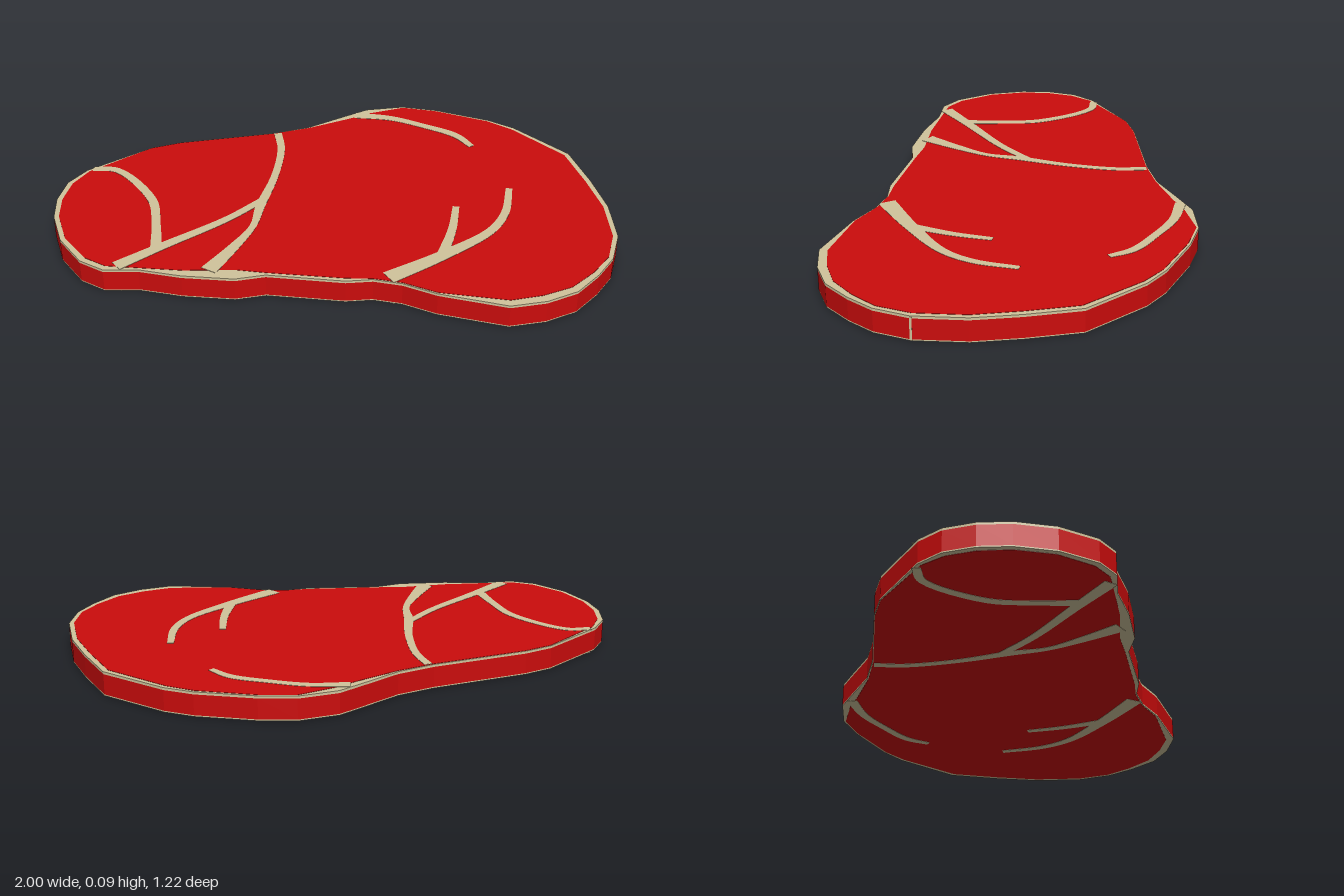
import * as THREE from 'three';

// Outline seen from above, clockwise: x, z, width of the fat rim there
const OUTLINE = [
  [-1, 0.19, 0.02], [-0.99, 0.08, 0.02], [-0.94, -0.01, 0.012], [-0.74, -0.19, 0.003],
  [-0.64, -0.24, 0.003], [-0.3, -0.35, 0.004], [-0.17, -0.41, 0.006], [-0.04, -0.51, 0.025],
  [0.04, -0.57, 0.03], [0.18, -0.61, 0.008], [0.31, -0.6, 0.008], [0.52, -0.55, 0.01],
  [0.62, -0.505, 0.015], [0.83, -0.345, 0.02], [0.91, -0.17, 0.02], [0.97, -0.01, 0.018],
  [1, 0.17, 0.018], [0.98, 0.3, 0.016], [0.93, 0.4, 0.02], [0.86, 0.5, 0.028],
  [0.76, 0.565, 0.032], [0.64, 0.605, 0.03], [0.4, 0.57, 0.006], [0.28, 0.53, 0.004],
  [0.18, 0.52, 0.004], [0.09, 0.54, 0.015], [-0.18, 0.54, 0.012], [-0.28, 0.575, 0.05],
  [-0.46, 0.58, 0.03], [-0.61, 0.565, 0.01], [-0.73, 0.58, 0.022], [-0.82, 0.54, 0.022],
  [-0.92, 0.43, 0.018], [-0.98, 0.3, 0.018],
];

// Marbling paths: x, z, width
const VEINS = [
  [[0, -0.52, 0.04], [0.14, -0.515, 0.033], [0.27, -0.475, 0.03], [0.4, -0.42, 0.032], [0.465, -0.35, 0.024]],
  [[-0.28, -0.35, 0.03], [-0.25, -0.24, 0.028], [-0.245, -0.05, 0.028], [-0.265, 0.14, 0.035],
    [-0.27, 0.27, 0.025], [-0.315, 0.4, 0.04], [-0.375, 0.54, 0.06]],
  [[-0.26, 0.1, 0.03], [-0.37, 0.24, 0.032], [-0.555, 0.42, 0.04], [-0.69, 0.555, 0.05]],
  [[-0.92, -0.02, 0.03], [-0.83, -0.02, 0.03], [-0.66, 0.15, 0.033], [-0.61, 0.3, 0.032], [-0.58, 0.43, 0.04]],
  [[0.43, 0.06, 0.024], [0.425, 0.2, 0.03], [0.4, 0.36, 0.04]],
  [[0.615, -0.08, 0.024], [0.605, 0.08, 0.03], [0.555, 0.2, 0.035], [0.4, 0.36, 0.05], [0.23, 0.505, 0.065]],
];

// Moves each point of a line sideways (to its right) by dist(point)
function offset(points, dist, closed) {
  const n = points.length;
  return points.map((p, i) => {
    const a = points[closed ? (i + n - 1) % n : Math.max(i - 1, 0)];
    const b = points[closed ? (i + 1) % n : Math.min(i + 1, n - 1)];
    const tx = b[0] - a[0], tz = b[1] - a[1];
    const k = dist(p) / Math.hypot(tx, tz);
    return [p[0] - tz * k, p[1] + tx * k];
  });
}

// Flat slab between two heights from a plan outline
function slab(points, y0, y1) {
  const shape = new THREE.Shape(points.map(([x, z]) => new THREE.Vector2(x, -z)));
  const geometry = new THREE.ExtrudeGeometry(shape, { depth: y1 - y0, bevelEnabled: false });
  return geometry.rotateX(-Math.PI / 2).translate(0, y0, 0);
}

// Smooth ribbon outline along a vein path
function ribbon(path) {
  const curve = new THREE.CatmullRomCurve3(path.map((p) => new THREE.Vector3(...p)));
  const line = curve.getPoints(24).map((v) => [v.x, v.y, v.z]);
  const right = offset(line, (p) => p[2] / 2, false);
  const left = offset(line, (p) => -p[2] / 2, false);
  return [...right, ...left.reverse()];
}

export function createModel() {
  const meat = new THREE.MeshStandardMaterial({ color: 0xcb0c0c });
  meat.name = 'red meat';
  const fat = new THREE.MeshStandardMaterial({ color: 0xd0c49c });
  fat.name = 'cream fat';

  const model = new THREE.Group();
  model.name = 'steak';
  const add = (name, geometry, material) => {
    const mesh = new THREE.Mesh(geometry, material);
    mesh.name = name;
    model.add(mesh);
  };

  // Body with a thin fat edge above and below
  add('meatSide', slab(OUTLINE, 0.007, 0.081), meat);
  add('topFatRim', slab(OUTLINE, 0.081, 0.09), fat);
  add('bottomFatRim', slab(OUTLINE, 0.002, 0.007), fat);

  // Red cut faces inside the rim
  const cut = offset(OUTLINE, (p) => p[2], true);
  add('topMeatFace', slab(cut, 0.0895, 0.091), meat);
  add('bottomMeatFace', slab(cut, 0.001, 0.0025), meat);

  // Marbling on both faces
  VEINS.forEach((path, i) => {
    const outline = ribbon(path);
    add(`topVein${i + 1}`, slab(outline, 0.0905, 0.092), fat);
    add(`bottomVein${i + 1}`, slab(outline, 0, 0.0015), fat);
  });

  // Fine fat seam down the side
  add('sideSeam', new THREE.BoxGeometry(0.004, 0.084, 0.008).translate(0.998, 0.045, 0.17), fat);
  return model;
}
